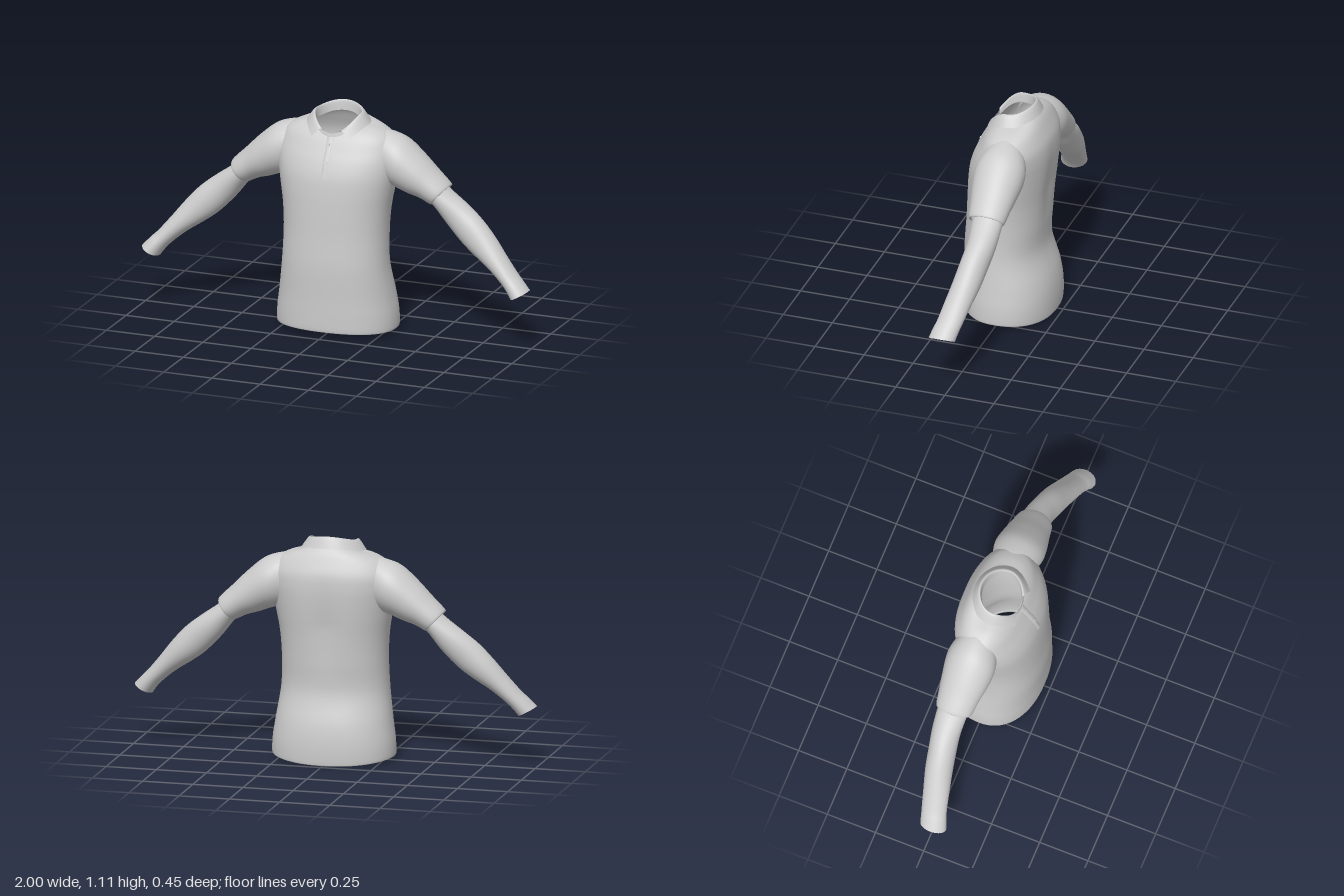
import * as THREE from 'three';

const cloth = new THREE.MeshStandardMaterial({ color: 0xcccccc, side: THREE.DoubleSide });
cloth.name = 'grey cloth';

// Smooth interpolation between rows of section parameters
function sampleRows(rows, t) {
  const f = t * (rows.length - 1);
  const i = Math.min(Math.floor(f), rows.length - 2);
  const k = f - i;
  const at = (n) => rows[Math.max(0, Math.min(rows.length - 1, n))];
  return rows[0].map((_, c) => {
    const [a, b, d, e] = [at(i - 1)[c], at(i)[c], at(i + 1)[c], at(i + 2)[c]];
    return b + 0.5 * k * (d - a + k * (2 * a - 5 * b + 4 * d - e + k * (3 * (b - d) + e - a)));
  });
}

// Grid surface from point(u, v); u runs around, v along
function surface(name, nu, nv, closed, point) {
  const pos = [], idx = [];
  const cols = closed ? nu : nu + 1;
  for (let j = 0; j <= nv; j++)
    for (let i = 0; i < cols; i++) pos.push(...point(i / nu, j / nv));
  for (let j = 0; j < nv; j++)
    for (let i = 0; i < nu; i++) {
      const a = j * cols + i, b = j * cols + ((i + 1) % cols);
      idx.push(a, a + cols, b, b, a + cols, b + cols);
    }
  const g = new THREE.BufferGeometry();
  g.setAttribute('position', new THREE.Float32BufferAttribute(pos, 3));
  g.setIndex(idx);
  g.computeVertexNormals();
  const m = new THREE.Mesh(g, cloth);
  m.name = name;
  return m;
}

const power = (v, e) => Math.sign(v) * Math.pow(Math.abs(v), e);

// Point on a torso-like ring: [front y, side y, back y, half width, front z, back z]
function ringPoint([yf, ys, yb, w, zf, zb], angle, e) {
  const s = Math.sin(angle), mid = (zf + zb) / 2, half = (zf - zb) / 2;
  const y = ys + ((s > 0 ? yf : yb) - ys) * s * s;
  return [w * power(Math.cos(angle), e), y, mid + half * power(s, e)];
}

// Torso rings from turned-in hem to neck
const torsoRows = [
  [0.045, 0.04, 0.02, 0.288, 0.21, -0.21],
  [0.034, 0.026, 0.008, 0.300, 0.222, -0.221],
  [0.1, 0.1, 0.1, 0.298, 0.224, -0.222],
  [0.2, 0.2, 0.2, 0.284, 0.224, -0.208],
  [0.35, 0.35, 0.35, 0.264, 0.226, -0.167],
  [0.5, 0.5, 0.5, 0.259, 0.217, -0.174],
  [0.62, 0.62, 0.62, 0.266, 0.211, -0.183],
  [0.72, 0.72, 0.72, 0.282, 0.204, -0.193],
  [0.8, 0.8, 0.8, 0.296, 0.192, -0.199],
  [0.87, 0.87, 0.87, 0.305, 0.167, -0.2],
  [0.925, 0.93, 0.935, 0.300, 0.138, -0.192],
  [0.96, 0.985, 1.0, 0.268, 0.118, -0.166],
  [0.975, 1.018, 1.04, 0.21, 0.108, -0.145],
  [0.985, 1.035, 1.07, 0.145, 0.1, -0.118],
  [0.99, 1.05, 1.08, 0.115, 0.094, -0.1],
];

function torso() {
  return surface('torso', 72, 84, true, (u, v) => {
    const a = u * Math.PI * 2;
    const p = ringPoint(sampleRows(torsoRows, v), a, 0.9);
    // Shallow spine hollow and soft folds on the back
    const band = Math.max(0, 1 - Math.abs(p[1] - 0.68) / 0.27);
    if (p[2] < 0) p[2] += 0.014 * band * Math.exp(-Math.pow(p[0] / 0.07, 2));
    return p;
  });
}

// Limb rings: [top x, top y, bottom x, bottom y, front z, back z]
const sleeveRows = [
  [0.19, 1.015, 0.21, 0.76, 0.06, -0.13],
  [0.27, 1.0, 0.28, 0.737, 0.083, -0.155],
  [0.34, 0.972, 0.315, 0.725, 0.088, -0.158],
  [0.42, 0.905, 0.36, 0.708, 0.078, -0.15],
  [0.49, 0.835, 0.42, 0.69, 0.062, -0.14],
  [0.558, 0.768, 0.472, 0.665, 0.049, -0.13],
  [0.548, 0.758, 0.476, 0.674, 0.035, -0.118],
];
const armRows = [
  [0.49, 0.8, 0.42, 0.71, 0.035, -0.12],
  [0.555, 0.74, 0.48, 0.662, 0.03, -0.12],
  [0.65, 0.672, 0.55, 0.575, 0.025, -0.115],
  [0.73, 0.608, 0.63, 0.493, 0.034, -0.102],
  [0.8, 0.532, 0.7, 0.44, 0.045, -0.09],
  [0.865, 0.45, 0.785, 0.383, 0.06, -0.07],
  [0.925, 0.378, 0.855, 0.325, 0.074, -0.052],
  [0.96, 0.343, 0.89, 0.288, 0.086, -0.042],
  [0.998, 0.303, 0.912, 0.257, 0.097, -0.034],
];

function limb(name, rows, side, steps) {
  return surface(name, 36, steps, true, (u, v) => {
    const [tx, ty, bx, by, zf, zb] = sampleRows(rows, v);
    const a = u * Math.PI * 2, c = Math.cos(a), s = Math.sin(a);
    const x = (tx + bx) / 2 + (c * (tx - bx)) / 2;
    const y = (ty + by) / 2 + (c * (ty - by)) / 2;
    return [side * x, y, (zf + zb) / 2 + (s * (zf - zb)) / 2];
  });
}

// Collar sections from inside stand, over the fold, to the leaf edge
const collarRows = [
  [0.985, 1.04, 1.06, 0.108, 0.09, -0.095],
  [1.0, 1.078, 1.102, 0.112, 0.095, -0.1],
  [1.006, 1.086, 1.111, 0.117, 0.1, -0.107],
  [1.0, 1.076, 1.098, 0.13, 0.107, -0.118],
  [0.98, 1.036, 1.058, 0.158, 0.117, -0.137],
];

function collar() {
  return surface('collar', 64, 16, false, (u, v) => {
    const gap = 0.3 + 0.3 * v;
    const a = Math.PI / 2 + gap + u * (Math.PI * 2 - 2 * gap);
    const p = ringPoint(sampleRows(collarRows, v), a, 1);
    // Pull the front corners of the leaf down into points
    const tip = Math.pow(Math.abs(2 * u - 1), 10) * v * v;
    p[0] *= 1 + 0.1 * tip;
    p[1] -= 0.022 * tip;
    p[2] += 0.014 * tip;
    return p;
  });
}

// Neck band closing the collar at the front
function neckBand() {
  return surface('neckBand', 48, 4, true, (u, v) => ringPoint(
    [0.975 + 0.025 * v, 1.03 + 0.03 * v, 1.06 + 0.03 * v, 0.118 - 0.006 * v, 0.104 - 0.006 * v, -0.105],
    u * Math.PI * 2, 1));
}

// Button placket following the chest
const placketRows = [
  [0.985, 0.107], [0.96, 0.122], [0.925, 0.142], [0.87, 0.171], [0.8, 0.196],
];
function placket() {
  const group = new THREE.Group();
  group.name = 'placket';
  group.add(surface('placketStrip', 4, 16, false, (u, v) => {
    const [y, z] = sampleRows(placketRows, v);
    const edge = u === 0 || u === 1 ? -0.006 : 0;
    return [-0.016 + 0.034 * u, y, z + edge];
  }));
  for (const t of [0.3, 0.75]) {
    const [y, z] = sampleRows(placketRows, t);
    const b = new THREE.Mesh(new THREE.CylinderGeometry(0.006, 0.006, 0.005, 16), cloth);
    b.name = 'button';
    b.position.set(0.001, y, z + 0.001);
    b.rotation.x = 1.1;
    group.add(b);
  }
  return group;
}

export function createModel() {
  const model = new THREE.Group();
  model.name = 'shirt';
  model.add(torso(), neckBand(), collar(), placket());
  for (const [label, side] of [['left', 1], ['right', -1]]) {
    model.add(limb(label + 'ShortSleeve', sleeveRows, side, 36));
    model.add(limb(label + 'LongSleeve', armRows, side, 40));
  }
  return model;
}
